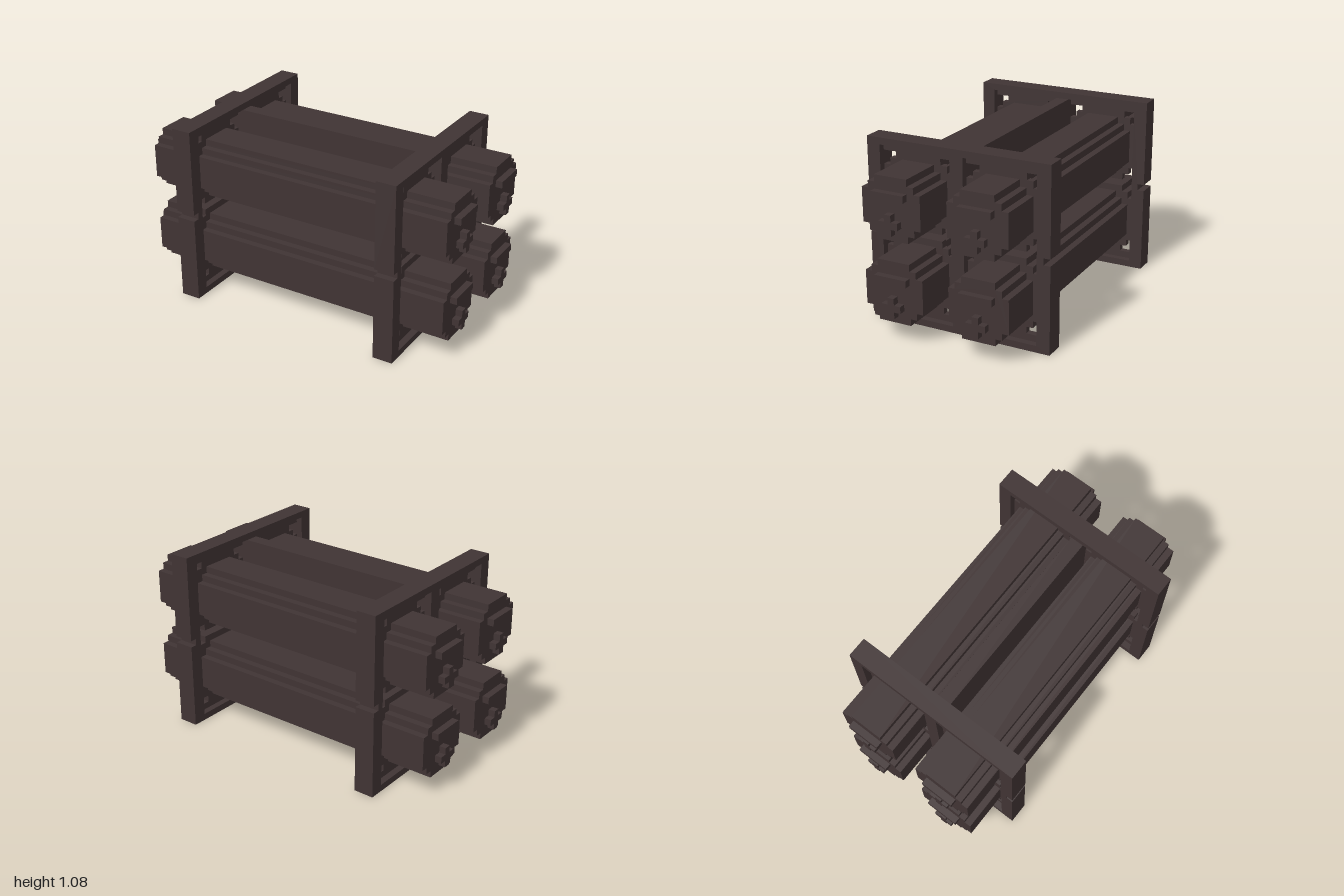
import * as THREE from 'three';

const iron = new THREE.MeshStandardMaterial({ color: 0x403434 });
iron.name = 'darkIron';

const U = 0.04; // block size

// Extrudes a (z, y) outline along x, centred on x = 0
function extrudeX(shape, length) {
  const g = new THREE.ExtrudeGeometry(shape, { depth: length, bevelEnabled: false });
  g.translate(0, 0, -length / 2);
  g.rotateY(-Math.PI / 2); // shape x becomes +z
  return g;
}

// Outline of a blocky disc: quarter corners mirrored round the centre
function steppedShape(quarter) {
  const mirrored = [...quarter].reverse();
  const pts = [
    ...quarter,
    ...mirrored.map(([a, b]) => [-a, b]),
    ...quarter.map(([a, b]) => [-a, -b]),
    ...mirrored.map(([a, b]) => [a, -b]),
  ];
  return new THREE.Shape(pts.map(([a, b]) => new THREE.Vector2(a * U, b * U)));
}

function add(parent, name, geometry, x = 0, y = 0, z = 0) {
  const mesh = new THREE.Mesh(geometry, iron);
  mesh.name = name;
  mesh.position.set(x, y, z);
  parent.add(mesh);
  return mesh;
}

// Square end frame with two tall openings and a small notch in each side post
function frameShape() {
  const s = new THREE.Shape([
    [-0.56, 0], [0.56, 0], [0.56, 0.52], [0.52, 0.52], [0.52, 0.56], [0.56, 0.56],
    [0.56, 1.08], [-0.56, 1.08], [-0.56, 0.56], [-0.52, 0.56], [-0.52, 0.52], [-0.56, 0.52],
  ].map(([a, b]) => new THREE.Vector2(a, b)));
  for (const c of [-0.26, 0.26]) {
    s.holes.push(new THREE.Path([
      [c - 0.22, 0.04], [c - 0.22, 1.04], [c + 0.22, 1.04], [c + 0.22, 0.04],
    ].map(([a, b]) => new THREE.Vector2(a, b))));
  }
  return s;
}

export function createModel() {
  const model = new THREE.Group();
  model.name = 'rodRack';

  const frameGeo = extrudeX(frameShape(), 0.12);
  const rodGeo = extrudeX(steppedShape(
    [[4.5, 2.5], [3.5, 2.5], [3.5, 3.5], [2.5, 3.5], [2.5, 4.5]]), 1.92);
  const collarGeo = extrudeX(steppedShape(
    [[5.5, 3.5], [4.5, 3.5], [4.5, 4.5], [3.5, 4.5], [3.5, 5.5]]), 0.04);
  const ledgeGeo = new THREE.BoxGeometry(0.04, 0.04, 0.44);
  const barGeo = new THREE.BoxGeometry(0.04, 0.04, 0.20);
  const crossGeo = extrudeX(steppedShape([[1.5, 0.5], [0.5, 0.5], [0.5, 1.5]]), 0.04);

  // Plate joining the two frames between the rod rows
  add(model, 'centrePlate', new THREE.BoxGeometry(1.2, 1.0, 0.08), 0, 0.54, 0);

  // Frames with the recessed ledges at top and bottom
  for (const side of [-1, 1]) {
    const end = new THREE.Group();
    end.name = side > 0 ? 'leftEndFrame' : 'rightEndFrame';
    end.position.x = side * 0.66;
    model.add(end);
    add(end, 'frame', frameGeo);
    for (const z of [-0.26, 0.26]) {
      for (const y of [0.06, 1.02]) add(end, 'ledge', ledgeGeo, 0, y, z);
    }
  }

  // Four rods, each with collars in the frames and raised marks on both ends
  for (const y of [0.30, 0.78]) {
    for (const z of [-0.26, 0.26]) {
      const rod = new THREE.Group();
      rod.name = (y > 0.5 ? 'upper' : 'lower') + (z > 0 ? 'FrontRod' : 'BackRod');
      rod.position.set(0, y, z);
      model.add(rod);
      add(rod, 'rodBody', rodGeo);
      for (const side of [-1, 1]) {
        add(rod, 'collar', collarGeo, side * 0.66);
        add(rod, 'endBar', barGeo, side * 0.98, 0.08);
        add(rod, 'endCross', crossGeo, side * 0.98, -0.08);
      }
    }
  }
  return model;
}
